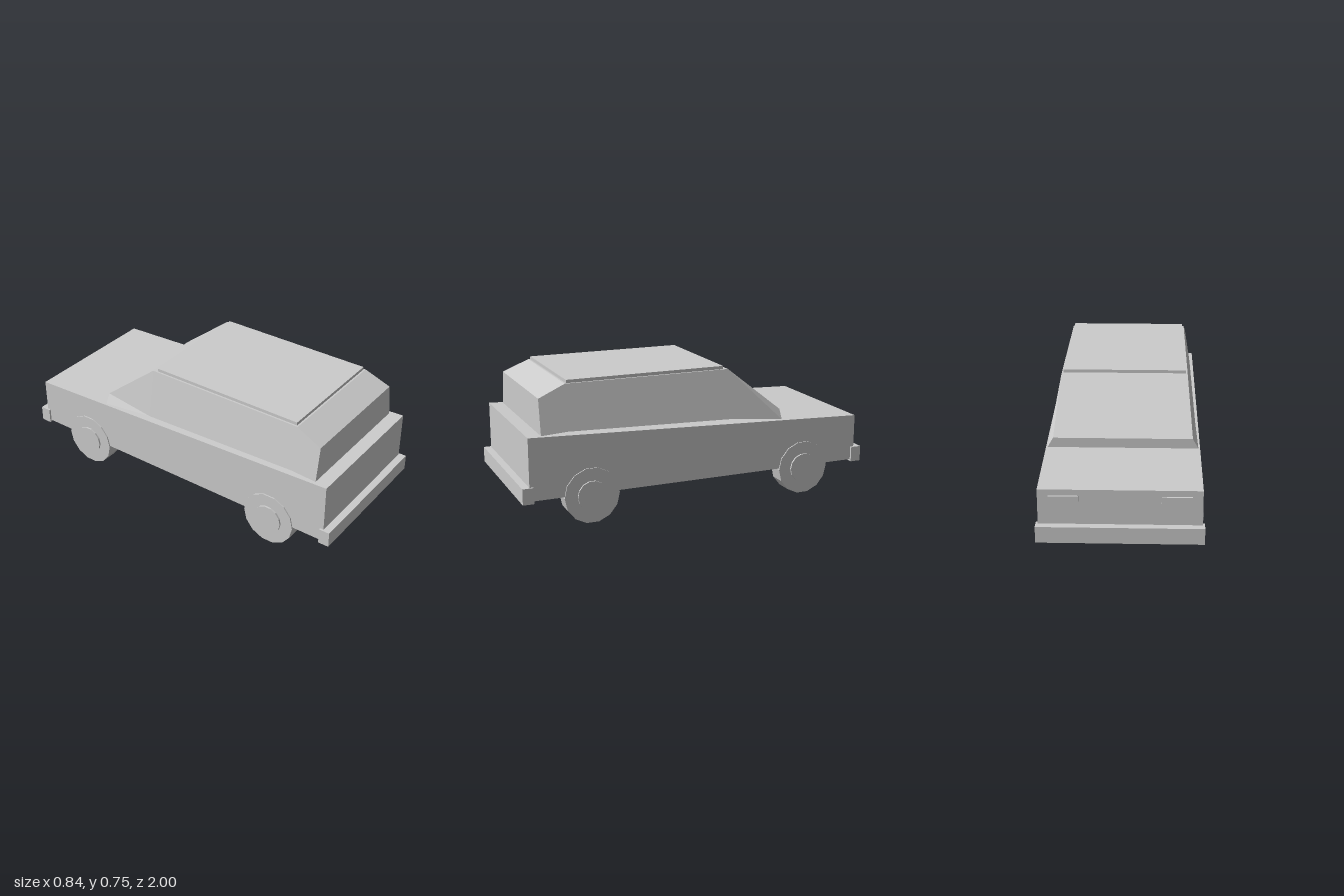
import * as THREE from 'three';

const material = new THREE.MeshStandardMaterial({ color: 0xcccccc, flatShading: true });

function add(parent, name, geometry, x = 0, y = 0, z = 0) {
  const mesh = new THREE.Mesh(geometry, material);
  mesh.name = name;
  mesh.position.set(x, y, z);
  parent.add(mesh);
  return mesh;
}

// Skin four-sided cross-sections, listed from +z to -z, and cap both ends.
// Each section: [z, bottomY, bottomHalfWidth, topY, topHalfWidth]
function loft(sections) {
  const positions = [];
  const index = [];
  for (const [z, y0, w0, y1, w1] of sections) {
    positions.push(-w0, y0, z, w0, y0, z, w1, y1, z, -w1, y1, z);
  }
  for (let s = 0; s < sections.length - 1; s++) {
    for (let i = 0; i < 4; i++) {
      const a = s * 4 + i, b = s * 4 + (i + 1) % 4;
      index.push(a, a + 4, b, b, a + 4, b + 4);
    }
  }
  const e = (sections.length - 1) * 4;
  index.push(0, 1, 2, 0, 2, 3, e, e + 2, e + 1, e, e + 3, e + 2);
  const geometry = new THREE.BufferGeometry();
  geometry.setAttribute('position', new THREE.Float32BufferAttribute(positions, 3));
  geometry.setIndex(index);
  const flat = geometry.toNonIndexed();
  flat.computeVertexNormals();
  return flat;
}

// Cylinder lying along x with a flat facet at the bottom
function disc(radius, width) {
  return new THREE.CylinderGeometry(radius, radius, width, 14).rotateZ(Math.PI / 2);
}

export function createModel() {
  const car = new THREE.Group();
  car.name = 'car';

  // Wedge-shaped lower body
  add(car, 'body', loft([
    [0.96, 0.155, 0.406, 0.49, 0.406],
    [-0.96, 0.155, 0.406, 0.415, 0.406],
  ]));

  // Tapered cabin with sloping windscreen, floating slightly above the body
  add(car, 'cabin', loft([
    [0.885, 0.488, 0.386, 0.675, 0.355],
    [0.74, 0.496, 0.386, 0.737, 0.343],
    [-0.18, 0.468, 0.389, 0.737, 0.343],
    [-0.49, 0.437, 0.397, 0.49, 0.367],
  ]));
  add(car, 'roofPanel', new THREE.BoxGeometry(0.666, 0.02, 0.885), 0, 0.744, 0.288);

  // Bumpers at both ends
  for (const end of [1, -1]) {
    add(car, end > 0 ? 'rearBumper' : 'noseBumper',
      new THREE.BoxGeometry(0.834, 0.086, 0.06), 0, 0.187, end * 0.97);
  }

  for (const side of [1, -1]) {
    // Headlights on the low nose
    add(car, 'headlight', new THREE.BoxGeometry(0.15, 0.062, 0.02), side * 0.278, 0.352, -0.96);

    // Wheels with raised hubcaps
    for (const z of [0.627, -0.625]) {
      const wheel = new THREE.Group();
      wheel.name = 'wheel';
      wheel.position.set(side * 0.366, 0.147, z);
      car.add(wheel);
      add(wheel, 'tyre', disc(0.151, 0.093));
      add(wheel, 'hubcap', disc(0.081, 0.03), side * 0.041);
    }
  }
  return car;
}
